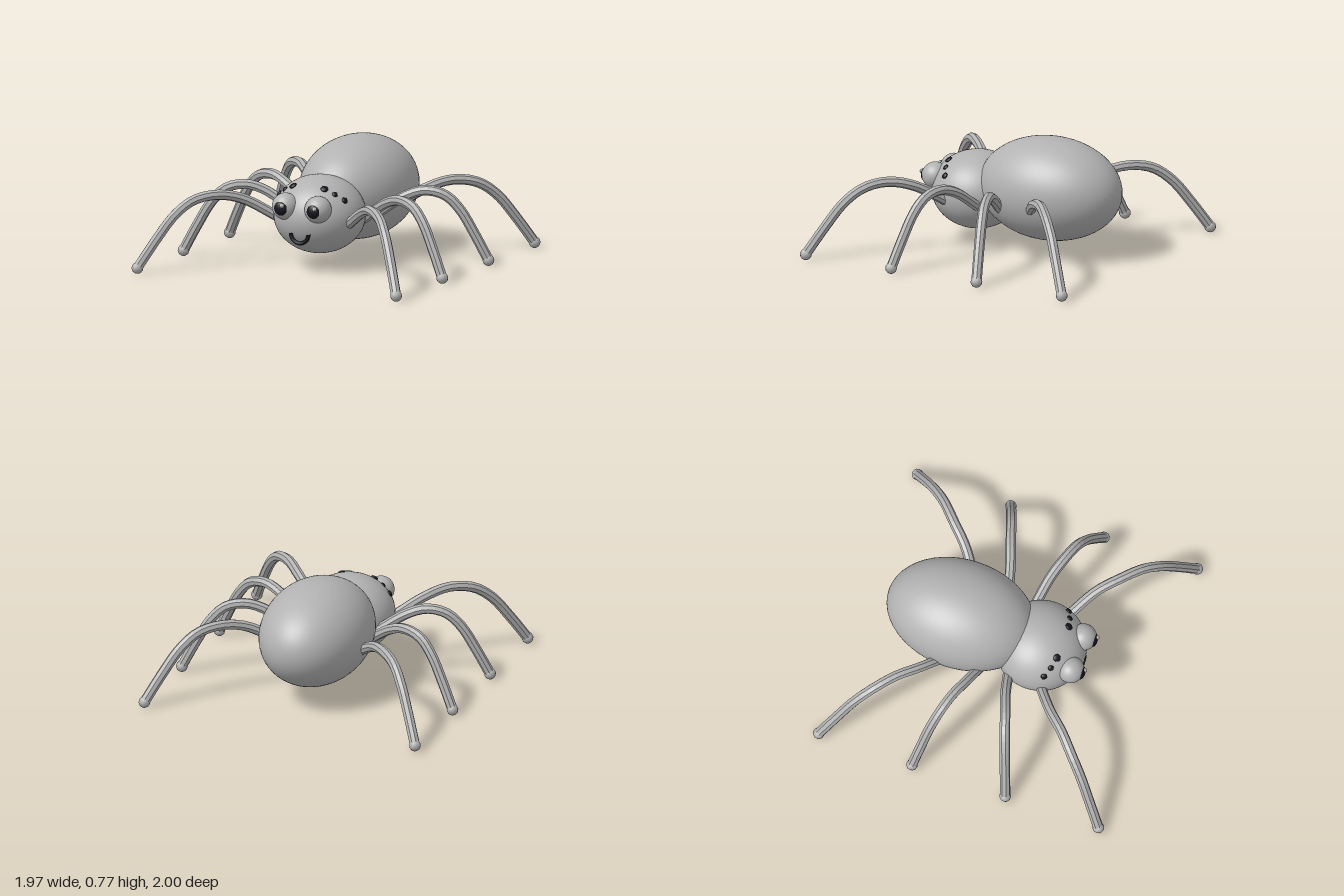
import * as THREE from 'three';

export function createModel() {
  const model = new THREE.Group();
  const grey = new THREE.MeshStandardMaterial({ color: 0xb2b2b2 });
  grey.name = 'body grey';
  const legGrey = new THREE.MeshStandardMaterial({ color: 0xb2b2b2, flatShading: true });
  legGrey.name = 'leg grey';
  const black = new THREE.MeshStandardMaterial({ color: 0x14151c });
  black.name = 'black';

  const add = (name, geometry, material, parent = model) => {
    const mesh = new THREE.Mesh(geometry, material);
    mesh.name = name;
    parent.add(mesh);
    return mesh;
  };

  const ellipsoid = (name, material, center, radii, segments = 32) => {
    const mesh = add(name, new THREE.SphereGeometry(1, segments, Math.round(segments * 0.75)), material);
    mesh.position.set(...center);
    mesh.scale.set(...radii);
    return mesh;
  };

  // Body
  const headCenter = [0, 0.355, 0.225];
  const headRadii = [0.3, 0.255, 0.3];
  ellipsoid('abdomen', grey, [0, 0.437, -0.32], [0.356, 0.338, 0.498], 48);
  ellipsoid('head', grey, headCenter, headRadii, 48);

  // Smile
  const smile = add('smile', new THREE.TorusGeometry(0.064, 0.013, 10, 24, Math.PI), black);
  smile.position.set(0, 0.272, 0.505);
  smile.rotation.z = Math.PI;

  // Big eyes, each with a pupil and a glint on the same side
  for (const side of [-1, 1]) {
    const x = side * 0.119;
    ellipsoid('eye', grey, [x, 0.437, 0.475], [0.088, 0.088, 0.088]);
    ellipsoid('pupil', black, [x + 0.002, 0.435, 0.543], [0.047, 0.047, 0.028], 24);
    ellipsoid('glint', grey, [x + 0.02, 0.457, 0.563], [0.015, 0.015, 0.015], 12);
  }

  // Rows of small eyes lying flat on the head: x, y, z, radius
  const smallEyes = [[0.115, 0.555, 0.378, 0.025], [0.182, 0.522, 0.36, 0.019], [0.24, 0.483, 0.333, 0.021]];
  const forward = new THREE.Vector3(0, 0, 1);
  for (const side of [-1, 1]) {
    for (const [x, y, z, r] of smallEyes) {
      const eye = ellipsoid('smallEye', black, [side * x, y, z], [r, r, 0.011], 16);
      const normal = new THREE.Vector3(
        side * x / headRadii[0] ** 2,
        (y - headCenter[1]) / headRadii[1] ** 2,
        (z - headCenter[2]) / headRadii[2] ** 2
      ).normalize();
      eye.quaternion.setFromUnitVectors(forward, normal);
    }
  }

  // Legs share one arch (x, y, fraction of the sweep along z)
  const arch = [
    [0.25, 0.32, 0], [0.44, 0.45, 0.215], [0.56, 0.487, 0.4], [0.68, 0.46, 0.57],
    [0.77, 0.37, 0.715], [0.86, 0.21, 0.86], [0.945, 0.038, 1]
  ];
  const sweeps = [['frontLeg', 0.31, 0.96], ['frontMiddleLeg', 0.09, 0.32],
    ['rearMiddleLeg', -0.09, -0.32], ['rearLeg', -0.31, -0.96]];
  for (const side of [-1, 1]) {
    for (const [name, start, end] of sweeps) {
      const leg = new THREE.Group();
      leg.name = name;
      model.add(leg);
      const path = new THREE.CatmullRomCurve3(
        arch.map(([x, y, t]) => new THREE.Vector3(side * x, y, start + (end - start) * t))
      );
      add('legTube', new THREE.TubeGeometry(path, 24, 0.034, 8), legGrey, leg);
      for (const [part, t, r] of [['hip', 0, 0.033], ['foot', 1, 0.038]]) {
        add(part, new THREE.SphereGeometry(r, 12, 8), grey, leg).position.copy(path.getPoint(t));
      }
    }
  }

  return model;
}
